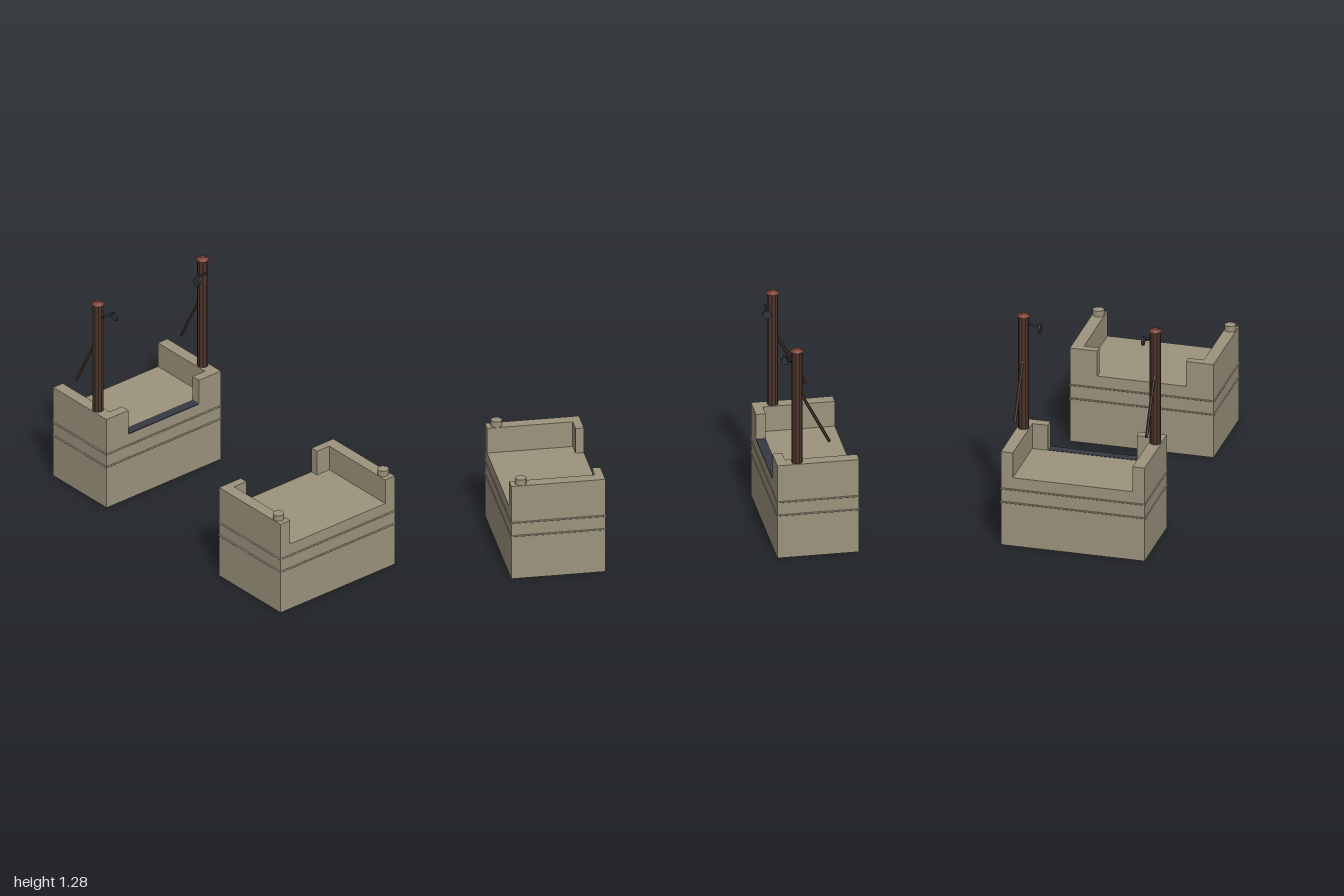
import * as THREE from 'three';

export function createModel() {
  const mat = (name, color, extra = {}) => {
    const m = new THREE.MeshStandardMaterial({ color, ...extra });
    m.name = name;
    return m;
  };
  const stone = mat('stone', 0x9c937d, { side: THREE.DoubleSide });
  const wood = mat('dark wood', 0x4b352b, { flatShading: true });
  const iron = mat('dark iron', 0x30343a, { flatShading: true });
  const capRed = mat('red brown cap', 0x7c4032, { flatShading: true });
  const steel = mat('hinge steel', 0x363843);

  const add = (parent, name, geometry, material, x = 0, y = 0, z = 0) => {
    const mesh = new THREE.Mesh(geometry, material);
    mesh.name = name;
    mesh.position.set(x, y, z);
    parent.add(mesh);
    return mesh;
  };
  // Box given by its limits on each axis
  const block = (parent, name, material, x0, x1, y0, y1, z0, z1) =>
    add(parent, name, new THREE.BoxGeometry(x1 - x0, y1 - y0, z1 - z0), material,
      (x0 + x1) / 2, (y0 + y1) / 2, (z0 + z1) / 2);
  // Round bar between two points
  const rod = (parent, name, material, a, b, r, sides = 8) => {
    const from = new THREE.Vector3(...a), to = new THREE.Vector3(...b);
    const dir = to.clone().sub(from);
    const mesh = add(parent, name, new THREE.CylinderGeometry(r, r, dir.length(), sides), material);
    mesh.position.copy(from).add(to).multiplyScalar(0.5);
    mesh.quaternion.setFromUnitVectors(new THREE.Vector3(0, 1, 0), dir.normalize());
    return mesh;
  };

  const W = 0.42, DECK = 0.422, TOP = 0.576, CEILING = 0.255, POST_X = 0.385;

  // Stone abutment: hollow skirt, deck slab, parapets and string courses.
  // gap is the z of the face towards the crossing, outer the far face.
  const abutment = (name, gap, outer, returnDepth) => {
    const g = new THREE.Group();
    g.name = name;
    const z0 = Math.min(gap, outer), z1 = Math.max(gap, outer);

    // Skirt without top and bottom faces
    const skirt = new THREE.BoxGeometry(2 * W, CEILING, z1 - z0);
    const index = Array.from(skirt.index.array);
    skirt.setIndex([...index.slice(0, 12), ...index.slice(24)]);
    skirt.clearGroups();
    add(g, 'hollowBase', skirt, stone, 0, CEILING / 2, (z0 + z1) / 2);
    block(g, 'deckSlab', stone, -W, W, CEILING, DECK, z0, z1);

    const inner = gap + Math.sign(outer - gap) * returnDepth;
    for (const s of [-1, 1]) {
      const span = (a, b) => [Math.min(s * a, s * b), Math.max(s * a, s * b)];
      block(g, 'sideParapet', stone, ...span(0.35, W), DECK, TOP, z0, z1);
      block(g, 'returnParapet', stone, ...span(0.26, 0.35), DECK, TOP,
        Math.min(gap, inner), Math.max(gap, inner));
    }
    // Two thin rounded courses around the walls
    for (const y of [0.265, 0.348]) {
      for (const z of [z0, z1]) rod(g, 'stringCourse', stone, [-W - 0.005, y, z], [W + 0.005, y, z], 0.005);
      for (const x of [-W, W]) rod(g, 'stringCourse', stone, [x, y, z0 - 0.005], [x, y, z1 + 0.005], 0.005);
    }
    return g;
  };

  const model = new THREE.Group();
  model.name = 'drawbridgeAbutments';
  const front = abutment('frontAbutment', 0.457, 0.995, 0.048);
  const back = abutment('backAbutment', -0.527, -0.995, 0.056);
  model.add(front, back);

  // Hinge plate let into the back threshold
  block(back, 'hingePlate', steel, -0.255, 0.255, DECK - 0.004, DECK + 0.002, -0.583, -0.5265);

  for (const s of [-1, 1]) {
    const x = s * POST_X;
    // Short stone bollard on the front abutment
    add(front, 'bollard', new THREE.CylinderGeometry(0.033, 0.033, 0.034, 10), stone, x, TOP + 0.017, 0.935);

    // Tall post with cap, brace and pulley arm
    const post = new THREE.Group();
    post.name = 'hoistPost';
    add(post, 'shaft', new THREE.CylinderGeometry(0.032, 0.032, 1.268 - TOP, 10), wood,
      x, (TOP + 1.268) / 2, -0.645);
    add(post, 'cap', new THREE.CylinderGeometry(0.014, 0.038, 0.017, 10), capRed, x, 1.275, -0.645);
    rod(post, 'brace', wood, [x, 1.0, -0.668], [x, 0.687, -0.832], 0.009, 6);
    rod(post, 'pulleyArm', iron, [x, 1.196, -0.602], [s * 0.304, 1.196, -0.602], 0.007, 6);
    rod(post, 'pulleyWheel', iron, [s * 0.308, 1.174, -0.597], [s * 0.296, 1.174, -0.597], 0.027, 12);
    back.add(post);
  }
  return model;
}
